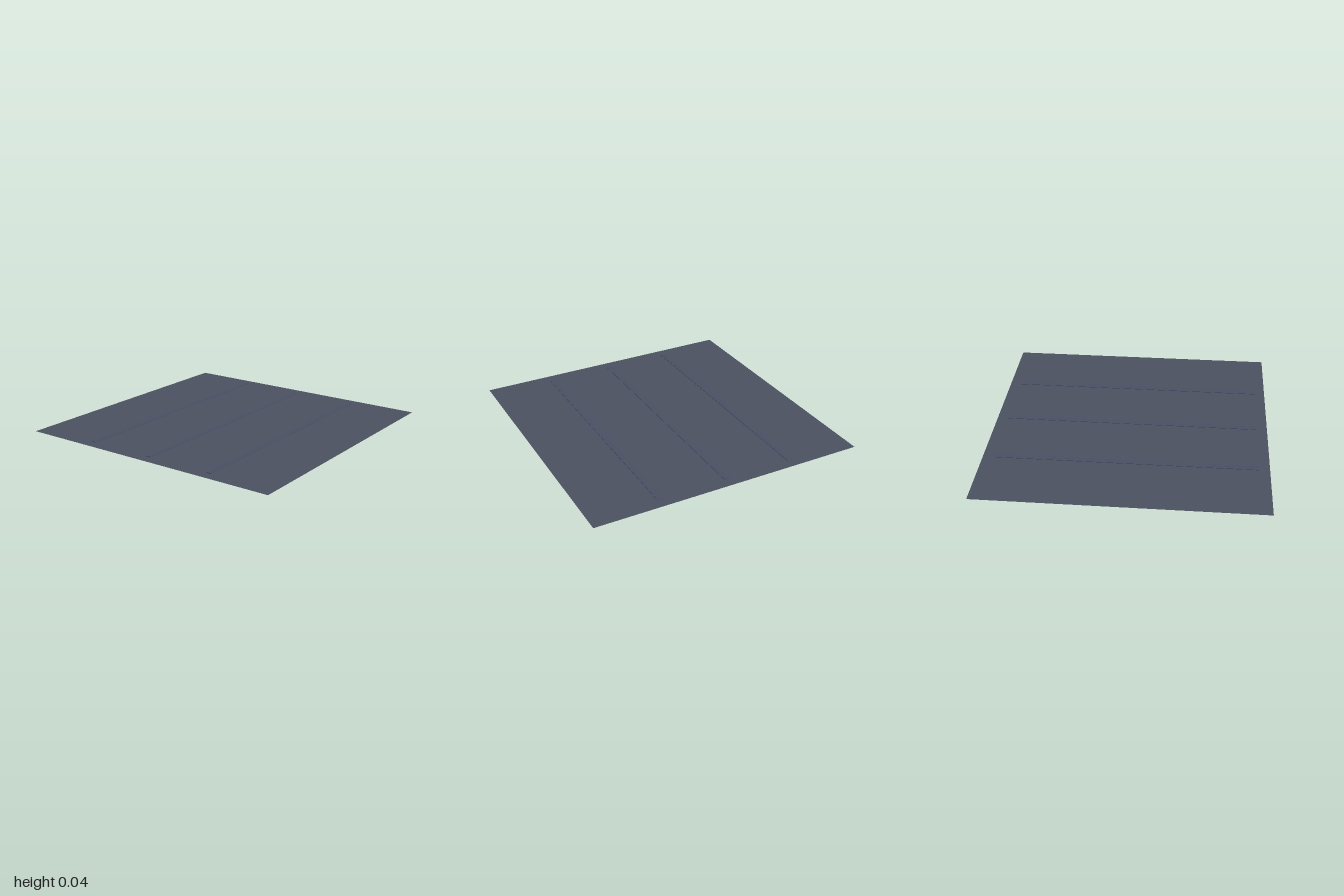
import * as THREE from 'three';

export function createModel() {
  const model = new THREE.Group();
  const panelMat = new THREE.MeshStandardMaterial({ color: 0x4b5261, side: THREE.DoubleSide });
  panelMat.name = 'slate panel';
  const beamMat = new THREE.MeshStandardMaterial({ color: 0x4a5064 });
  beamMat.name = 'blue grey beam';
  const lampMat = new THREE.MeshStandardMaterial({ color: 0xa7c1c8 });
  lampMat.name = 'pale lamp';

  const add = (name, geometry, material, x, y, z) => {
    const mesh = new THREE.Mesh(geometry, material);
    mesh.name = name;
    mesh.position.set(x, y, z);
    model.add(mesh);
    return mesh;
  };

  // Thin ceiling sheet
  const panelY = 0.039;
  add('ceilingPanel', new THREE.PlaneGeometry(2, 2).rotateX(-Math.PI / 2), panelMat, 0, panelY, 0);

  // Crossing beams below it; the lengthwise ones stand slightly proud of the sheet
  const length = 1.85, width = 0.04;
  const longBeam = new THREE.BoxGeometry(width, 0.04, length);
  const crossBeam = new THREE.BoxGeometry(length, 0.038, width);
  for (const p of [-0.5, 0, 0.5]) {
    add('lengthwiseBeam', longBeam, beamMat, p, 0.022, 0);
    add('crossBeam', crossBeam, beamMat, 0, 0.019, p);
  }

  // One round lamp facing down in each bay
  const lamp = new THREE.CircleGeometry(0.11, 12).rotateX(Math.PI / 2);
  for (const x of [-0.75, -0.25, 0.25, 0.75]) {
    for (const z of [-0.75, -0.25, 0.25, 0.75]) {
      add('lamp', lamp, lampMat, x, panelY - 0.003, z);
    }
  }
  return model;
}
